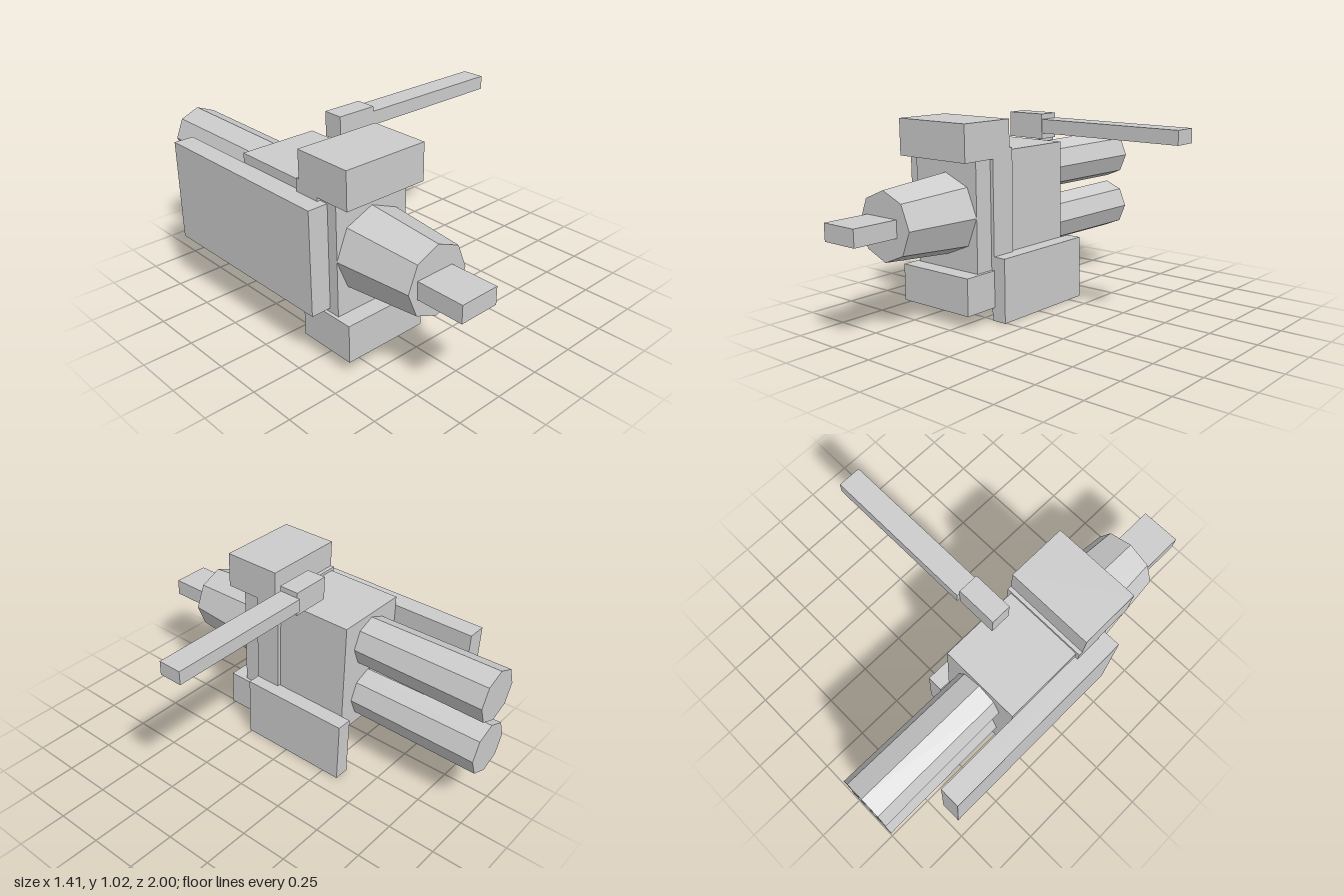
import * as THREE from 'three';

export function createModel() {
  const model = new THREE.Group();
  model.name = 'blockyEngineGun';

  const grey = new THREE.MeshStandardMaterial({ color: 0xcccccc, flatShading: true });
  grey.name = 'plain grey';

  const add = (name, geometry) => {
    const mesh = new THREE.Mesh(geometry, grey);
    mesh.name = name;
    model.add(mesh);
    return mesh;
  };

  // Box given by its limits along each axis
  const box = (name, [x0, x1], [y0, y1], [z0, z1]) =>
    add(name, new THREE.BoxGeometry(x1 - x0, y1 - y0, z1 - z0))
      .position.set((x0 + x1) / 2, (y0 + y1) / 2, (z0 + z1) / 2);

  // Eight-sided tube along z, with a corner pointing straight up
  const octagon = (name, y, [z0, z1], rBack, rFront) => {
    const g = new THREE.CylinderGeometry(rFront, rBack, z1 - z0, 8);
    g.rotateX(Math.PI / 2);
    add(name, g).position.set(-0.398, y, (z0 + z1) / 2);
  };

  // Main body and the narrower plate in front of the frame
  box('body', [-0.603, -0.195], [0.225, 0.845], [-0.29, 0.13]);
  box('frontPlate', [-0.603, -0.192], [0.2, 0.86], [0.25, 0.36]);

  // C-shaped frame: side profile drawn as (z, y), extruded across x
  const profile = [
    [0.45, 0.07], [0.45, 0.26], [0.26, 0.26], [0.26, 0.815], [0.45, 0.815], [0.45, 1.0],
    [0.14, 1.0], [0.14, 0.86], [0.12, 0.86], [0.12, 0.21], [0.14, 0.21], [0.14, 0.07],
  ];
  const shape = new THREE.Shape(profile.map(([z, y]) => new THREE.Vector2(-z, y)));
  const frame = new THREE.ExtrudeGeometry(shape, { depth: 0.446, bevelEnabled: false });
  frame.rotateY(Math.PI / 2);
  add('frame', frame).position.x = -0.62;

  // Tapered nose and its flat tip
  octagon('nose', 0.537, [0.36, 0.757], 0.206, 0.171);
  box('noseTip', [-0.517, -0.312], [0.495, 0.582], [0.75, 1.0]);

  // Twin rear barrels
  for (const [name, y] of [['upperBarrel', 0.692], ['lowerBarrel', 0.384]]) {
    octagon(name, y, [-1.0, -0.29], 0.137, 0.13);
  }

  // Side panels
  box('rightPanel', [-0.705, -0.603], [0.28, 0.797], [-0.727, 0.305]);
  box('leftPanel', [-0.19, -0.106], [0, 0.33], [-0.343, 0.26]);

  // Long sideways arm and its mount
  box('armMount', [-0.275, -0.07], [0.898, 1.02], [-0.087, 0.017]);
  box('arm', [-0.07, 0.703], [0.926, 0.994], [-0.103, 0.014]);

  return model;
}
